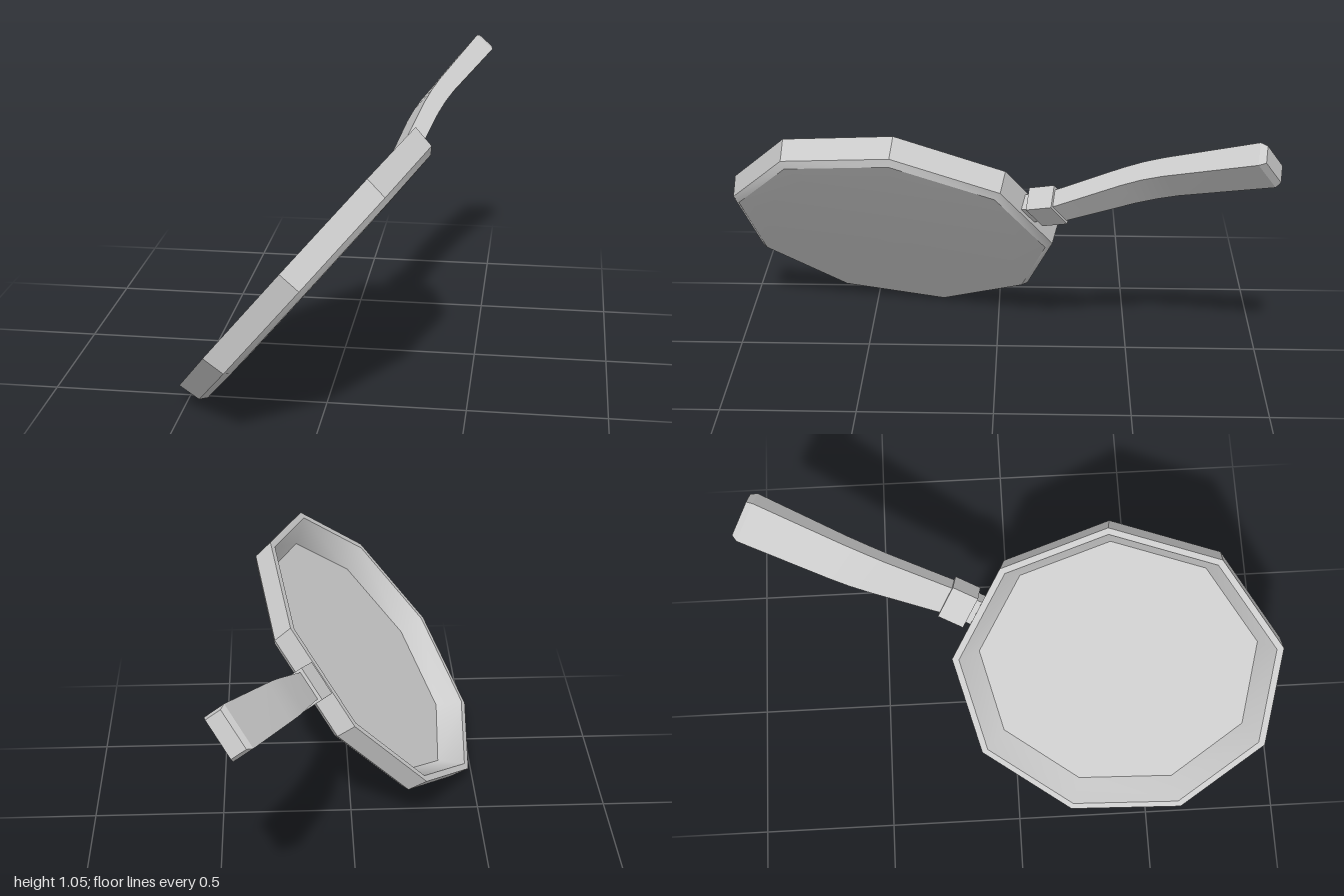
import * as THREE from 'three';
import { toCreasedNormals } from 'three/addons/utils/BufferGeometryUtils.js';

const material = new THREE.MeshStandardMaterial({ color: 0xcccccc });

function part(name, geometry, crease) {
  const mesh = new THREE.Mesh(toCreasedNormals(geometry, crease), material);
  mesh.name = name;
  return mesh;
}

// Rectangular bar along x; each station is [x, bottom, top, halfWidth].
function bar(stations) {
  const g = new THREE.BoxGeometry(1, 1, 1, stations.length - 1, 1, 1);
  const p = g.attributes.position;
  for (let i = 0; i < p.count; i++) {
    const k = Math.round((p.getX(i) + 0.5) * (stations.length - 1));
    const [x, bottom, top, half] = stations[k];
    p.setXYZ(i, x, p.getY(i) > 0 ? top : bottom, Math.sign(p.getZ(i)) * half);
  }
  return g;
}

export function createModel() {
  const group = new THREE.Group();
  group.name = 'fryingPan';

  // Local frame: rim centre at the origin, opening towards +y, handle along +x.
  const pan = new THREE.Group();
  pan.name = 'tiltedPan';

  // Nine-sided dish: underside, chamfer, wall, rim, sloped inside, floor
  const profile = [
    [0, -0.107], [0.5, -0.107], [0.592, -0.104], [0.617, -0.085], [0.628, 0],
    [0.602, 0], [0.533, -0.085], [0, -0.085],
  ].map(([r, y]) => new THREE.Vector2(r, y));
  const start = THREE.MathUtils.degToRad(70);
  pan.add(part('dish', new THREE.LatheGeometry(profile, 9, start, Math.PI * 2), 0.62));

  // Joint between dish and handle
  pan.add(part('neck', bar([[0.57, -0.072, -0.012, 0.052], [0.63, -0.072, -0.012, 0.052]]), 0.4));
  pan.add(part('collar', bar([[0.61, -0.084, 0.006, 0.068], [0.712, -0.084, 0.006, 0.068]]), 0.4));

  // Handle: rises, bends, then widens to a bevelled end
  pan.add(part('handle', bar([
    [0.69, -0.080, -0.012, 0.056],
    [0.98, -0.023, 0.048, 0.070],
    [1.06, -0.012, 0.060, 0.074],
    [1.14, -0.007, 0.067, 0.076],
    [1.495, -0.007, 0.080, 0.084],
    [1.518, 0.004, 0.070, 0.074],
  ]), 0.4));

  // Tilt the pan into place
  const up = new THREE.Vector3(-0.76, 0.638, -0.124).normalize();
  const along = new THREE.Vector3(0.372, 0.282, -0.884);
  along.addScaledVector(up, -along.dot(up)).normalize();
  const side = new THREE.Vector3().crossVectors(along, up);
  pan.quaternion.setFromRotationMatrix(new THREE.Matrix4().makeBasis(along, up, side));
  pan.position.set(-0.114, 0.53, 0.388);

  group.add(pan);
  return group;
}
